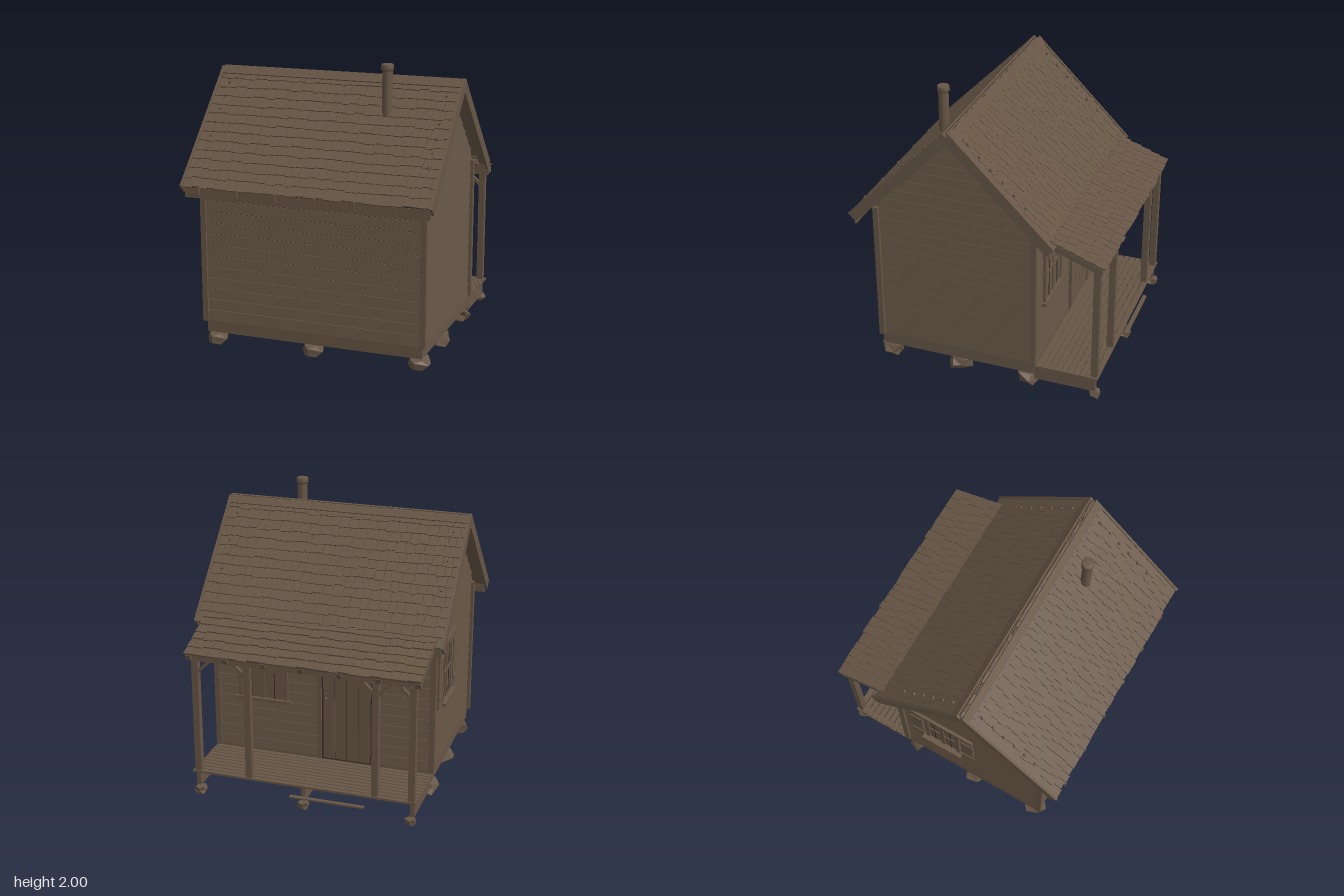
import * as THREE from 'three';
import { mergeGeometries } from 'three/addons/utils/BufferGeometryUtils.js';

const mat = (name, color) => {
  const m = new THREE.MeshStandardMaterial({ color });
  m.name = name;
  return m;
};

function seeded(seed) {
  return () => (seed = (seed * 16807) % 2147483647) / 2147483647;
}

export function createModel() {
  const wood = mat('weatheredWood', 0x665545);
  const gap = mat('shadowGap', 0x352b24);
  const rand = seeded(77);
  const model = new THREE.Group();
  model.name = 'cabin';
  const MID = 0.17; // z of the ridge

  const group = (name, parent = model) => {
    const g = new THREE.Group();
    g.name = name;
    parent.add(g);
    return g;
  };
  const add = (parent, name, geo, x = 0, y = 0, z = 0, m = wood) => {
    const mesh = new THREE.Mesh(geo, m);
    mesh.name = name;
    mesh.position.set(x, y, z);
    parent.add(mesh);
    return mesh;
  };
  // box given by its low and high corners
  const box = (parent, name, [x0, y0, z0], [x1, y1, z1], m = wood) =>
    add(parent, name, new THREE.BoxGeometry(x1 - x0, y1 - y0, z1 - z0),
      (x0 + x1) / 2, (y0 + y1) / 2, (z0 + z1) / 2, m);

  // Solid core behind the boards
  const outline = new THREE.Shape([[-0.56, 0.18], [0.56, 0.18], [0.56, 1.26], [0, 1.82], [-0.56, 1.26]]
    .map(p => new THREE.Vector2(...p)));
  const coreGeo = new THREE.ExtrudeGeometry(outline, { depth: 1.55, bevelEnabled: false });
  coreGeo.translate(0, 0, -0.775).rotateY(Math.PI / 2);
  add(model, 'wallCore', coreGeo, 0, 0, MID, gap);

  // Clapboard walls: tapered boards, leaning out at the bottom
  const PITCH = 0.0785;
  function clapWall(name, halfWidth, rows, distance, turn) {
    const boards = [];
    for (let i = 0; i < rows; i++) {
      const y0 = 0.19 + i * PITCH, h = PITCH - 0.007;
      const low = halfWidth(y0), high = Math.max(0.004, halfWidth(y0 + h));
      const g = new THREE.BoxGeometry(2, h, 0.012);
      const p = g.attributes.position;
      for (let k = 0; k < p.count; k++) {
        const top = p.getY(k) > 0;
        p.setX(k, p.getX(k) * (top ? high : low));
        p.setZ(k, p.getZ(k) + (top ? -0.004 : 0.004));
      }
      g.computeVertexNormals();
      boards.push(g.translate(0, y0 + h / 2, distance));
    }
    const wall = add(model, name, mergeGeometries(boards), 0, 0, MID);
    wall.rotation.y = turn;
  }
  clapWall('frontWall', () => 0.78, 13, 0.567, 0);
  clapWall('backWall', () => 0.78, 13, 0.567, Math.PI);
  const gable = y => Math.min(0.575, 1.835 - y);
  clapWall('leftGable', gable, 21, 0.782, Math.PI / 2);
  clapWall('rightGable', gable, 21, 0.782, -Math.PI / 2);
  for (const sx of [-1, 1]) for (const sz of [-1, 1])
    add(model, 'cornerBoard', new THREE.BoxGeometry(0.04, 1.03, 0.04), sx * 0.79, 0.695, MID + sz * 0.566);

  // Base frame and floor
  for (const s of [-1, 1]) {
    add(model, 'sillBeam', new THREE.BoxGeometry(1.57, 0.085, 0.07), 0, 0.1425, MID + s * 0.532);
    add(model, 'sideSillBeam', new THREE.BoxGeometry(0.07, 0.085, 1.0), s * 0.75, 0.1425, MID);
  }
  box(model, 'floor', [-0.77, 0.16, -0.38], [0.77, 0.185, 0.72]);

  // Foundation stones
  function rock(x, z, w, h) {
    const g = new THREE.DodecahedronGeometry(1, 0);
    const p = g.attributes.position;
    for (let k = 0; k < p.count; k++) {
      const [a, b, c] = [p.getX(k), p.getY(k), p.getZ(k)];
      const f = 1 + 0.22 * Math.sin(a * 5 + b * 7 + c * 3 + x * 9 + z * 4);
      p.setXYZ(k, a * f * w, Math.min(h, Math.max(0, h * 0.45 + b * f * h * 0.65)), c * f * w);
    }
    g.computeVertexNormals();
    add(model, 'foundationStone', g, x, 0, z);
  }
  for (const x of [-0.74, -0.02, 0.74]) for (const z of [0.68, 0.16, -0.34])
    if (z !== 0.16 || x !== -0.02) rock(x, z, 0.08, 0.105);
  for (const x of [-0.76, 0, 0.76]) rock(x, -0.83, 0.045, 0.065);

  // Rows of uneven shingles lying on local y, running down local +z
  function shingles(parent, halfX, start, end, rows, y) {
    const parts = [], pitch = (end - start) / rows;
    for (let r = 0; r < rows; r++) {
      const butt = start + (r + 1) * pitch;
      let x = -halfX;
      while (x < halfX - 0.01) {
        let w = 0.045 + rand() * 0.045;
        if (x + w > halfX - 0.03) w = halfX - x;
        const g = new THREE.BoxGeometry(w - 0.004, 0.01, pitch * 1.35);
        g.translate(0, 0, -pitch * 0.675).rotateX(-0.11);
        parts.push(g.translate(x + w / 2, y + 0.002 * rand(), butt - 0.008 + 0.014 * rand()));
        x += w;
      }
    }
    add(parent, 'shingles', mergeGeometries(parts), 0, 0, 0);
  }
  // Sloped frame: local +z runs down the roof, local +y points out of it
  function slope(name, y, z, turn, angle) {
    const outer = group(name);
    outer.position.set(0, y, z);
    outer.rotation.y = turn;
    const inner = group(name + 'Surface', outer);
    inner.rotation.x = angle;
    return inner;
  }

  // Main roof
  for (const turn of [0, Math.PI]) {
    const roof = slope(turn ? 'backRoof' : 'frontRoof', 1.91, MID, turn, Math.PI / 4);
    box(roof, 'roofDeck', [-0.872, -0.042, 0.035], [0.872, -0.024, 1.015], gap);
    box(roof, 'roofLining', [-0.87, -0.048, 0.05], [0.87, -0.042, 1.012]);
    shingles(roof, 0.872, 0.05, 1.03, 13, -0.012);
    for (const s of [-1, 1]) {
      add(roof, 'bargeBoard', new THREE.BoxGeometry(0.018, 0.075, 1.005), s * 0.877, -0.0375, 0.5325);
      for (let i = 0; i < 6; i++)
        add(roof, 'roofPeg', new THREE.BoxGeometry(0.014, 0.016, 0.02), s * 0.79, -0.003, 0.16 + i * 0.112);
    }
    box(roof, 'ridgeBoard', [-0.886, -0.008, 0.028], [0.886, 0.002, 0.09]);
    for (let i = 0; i < 6; i++) {
      const x = -0.75 + i * 0.277;
      box(roof, 'rafter', [x - 0.02, -0.075, 0.78], [x + 0.02, -0.048, 0.99]);
    }
  }
  for (const s of [-1, 1])
    add(model, 'fascia', new THREE.BoxGeometry(1.73, 0.07, 0.012), 0, 1.13, MID + s * 0.69);
  for (let i = 0; i < 6; i++)
    add(model, 'eaveHook', new THREE.BoxGeometry(0.018, 0.055, 0.014), -0.75 + i * 0.277, 1.152, 0.893);

  // Chimney pipe
  const chimney = group('chimney');
  chimney.position.set(0.41, 0, 0.38);
  add(chimney, 'pipe', new THREE.CylinderGeometry(0.035, 0.035, 0.38, 20), 0, 1.79, 0);
  add(chimney, 'pipeCap', new THREE.LatheGeometry(
    [[0, 1.955], [0.036, 1.955], [0.043, 1.965], [0.043, 1.992], [0.036, 2], [0, 2]]
      .map(p => new THREE.Vector2(...p)), 20));

  // Porch roof
  const porchRoof = slope('porchRoof', 1.226, -0.47, Math.PI, 0.36);
  box(porchRoof, 'porchRoofDeck', [-0.815, -0.022, 0], [0.815, -0.012, 0.44]);
  shingles(porchRoof, 0.825, -0.01, 0.455, 6, 0);
  for (let i = 0; i < 7; i++) {
    const x = -0.8 + i * 0.8 / 3;
    box(porchRoof, 'porchRafter', [x - 0.018, -0.06, 0], [x + 0.018, -0.022, 0.445]);
  }

  // Porch deck
  const porch = group('porch');
  for (let i = 0; i < 10; i++)
    box(porch, 'deckBoard', [-0.8 - 0.006 * rand(), 0.165, -0.46 + 0.001 - i * 0.0445],
      [0.8 + 0.006 * rand(), 0.18, -0.421 - i * 0.0445]);
  for (const x of [-0.77, 0, 0.77])
    box(porch, 'joist', [x - 0.015, 0.06, -0.84], [x + 0.015, 0.165, -0.4]);
  box(porch, 'stepBoard', [-0.44, 0.085, -0.875], [0.09, 0.095, -0.845]);

  // Porch posts, beam and braces
  box(porch, 'beam', [-0.81, 1.005, -0.85], [0.81, 1.05, -0.81]);
  for (const x of [-0.765, -0.51, 0.39, 0.765]) {
    box(porch, 'post', [x - 0.023, 0.17, -0.853], [x + 0.023, 1.01, -0.807]);
    for (const s of [-1, 1]) {
      if (Math.abs(x + s * 0.09) > 0.8) continue;
      const brace = add(porch, 'brace', new THREE.BoxGeometry(0.022, 0.14, 0.025), x + s * 0.055, 0.96, -0.83);
      brace.rotation.z = -s * Math.PI / 4;
    }
  }

  // Wall fittings: local +z points out of the wall
  function fitting(name, x, z, turn) {
    const g = group(name);
    g.position.set(x, 0, z);
    g.rotation.y = turn;
    return g;
  }
  function windowOn(g, w, y0, y1, sillOut) {
    const h = w / 2;
    box(g, 'pane', [-h, y0, -0.004], [h, y1, 0.004]);
    for (const s of [-1, 1]) add(g, 'sideCasing', new THREE.BoxGeometry(0.032, y1 - y0, 0.026), s * (h - 0.016), (y0 + y1) / 2, 0.002);
    box(g, 'headCasing', [-h - 0.015, y1 - 0.03, -0.01], [h + 0.015, y1 + 0.01, 0.018]);
    box(g, 'windowSill', [-h - 0.02, y0 - 0.012, -0.01], [h + 0.02, y0 + 0.012, sillOut]);
    box(g, 'mullion', [-0.016, y0, -0.01], [0.016, y1, 0.013]);
    box(g, 'meetingRail', [-h, (y0 + y1) / 2 - 0.01, -0.01], [h, (y0 + y1) / 2 + 0.01, 0.011]);
    for (const s of [-1, 1]) // shadow line just inside each sash
      box(g, 'sashLine', [s * h * 0.46 - 0.003, y0, 0.003], [s * h * 0.46 + 0.003, y1, 0.008], gap);
  }
  windowOn(fitting('backWindow', 0.44, -0.409, Math.PI), 0.37, 0.58, 1.02, 0.028);
  const side = fitting('sideWindow', -0.793, -0.06, -Math.PI / 2);
  windowOn(side, 0.28, 0.62, 1.05, 0.045);
  for (const s of [-1, 1]) {
    add(side, 'shutter', new THREE.BoxGeometry(0.095, 0.44, 0.018), s * 0.205, 0.84, 0.008);
    for (const y of [0.7, 0.98])
      add(side, 'shutterBatten', new THREE.BoxGeometry(0.085, 0.025, 0.008), s * 0.205, y, 0.02);
  }

  // Door of upright planks
  const door = fitting('door', -0.18, -0.409, Math.PI);
  box(door, 'doorGap', [-0.19, 0.18, -0.006], [0.19, 1.06, 0.002], gap);
  for (let i = 0; i < 4; i++)
    box(door, 'doorPlank', [-0.172 + i * 0.087, 0.19, 0], [-0.09 + i * 0.087, 1.04, 0.008]);
  for (const s of [-1, 1])
    add(door, 'doorCasing', new THREE.BoxGeometry(0.03, 0.88, 0.03), s * 0.2, 0.62, 0.002);
  box(door, 'doorHead', [-0.225, 1.045, -0.01], [0.225, 1.085, 0.02]);
  box(door, 'latchPlate', [-0.165, 0.62, 0.006], [-0.14, 0.69, 0.014]);
  const knob = add(door, 'knob', new THREE.SphereGeometry(0.013, 12, 8), -0.152, 0.65, 0.018);
  knob.scale.z = 0.7;

  return model;
}
